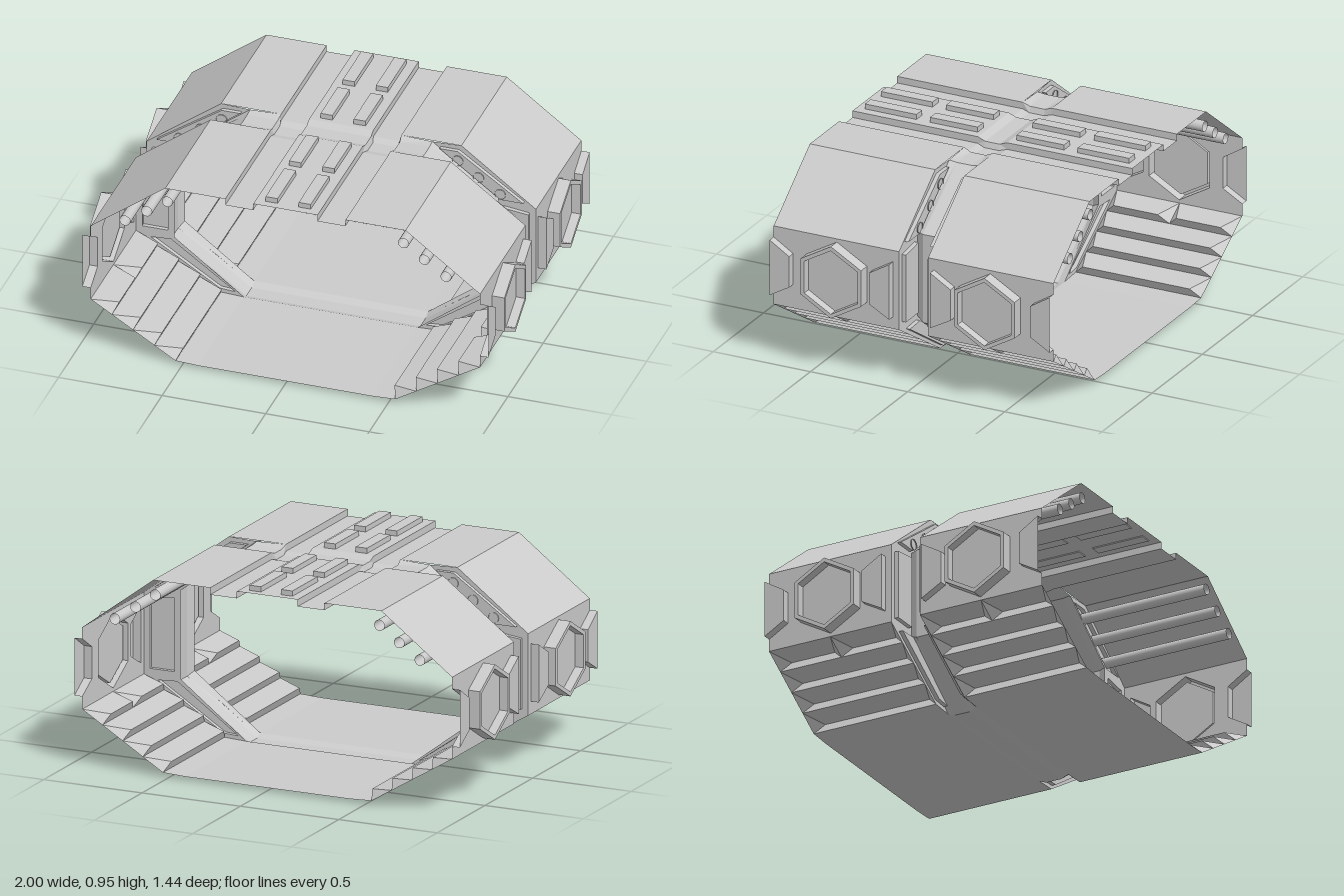
import * as THREE from 'three';

const mat = new THREE.MeshStandardMaterial({ color: 0xcccccc, side: THREE.DoubleSide, flatShading: true });
const smooth = new THREE.MeshStandardMaterial({ color: 0xcccccc, side: THREE.DoubleSide });
const END = 0.72, IN = 0.075; // z range of one bay

function add(group, name, geo, material = mat) {
  const m = new THREE.Mesh(geo, material);
  m.name = name;
  group.add(m);
  return m;
}

// Sheet through a list of cross-sections, each a list of [x, y, z]
function loft(sections, closed = false) {
  const pos = [];
  for (let i = 0; i < sections.length - 1; i++) {
    const a = sections[i], b = sections[i + 1], n = a.length;
    for (let j = 0; j < (closed ? n : n - 1); j++) {
      const k = (j + 1) % n;
      pos.push(...a[j], ...b[j], ...b[k], ...a[j], ...b[k], ...a[k]);
    }
  }
  const g = new THREE.BufferGeometry();
  g.setAttribute('position', new THREE.Float32BufferAttribute(pos, 3));
  g.computeVertexNormals();
  return g;
}

const atZ = (pts, z) => pts.map(([x, y]) => [x, y, z]);
const atX = (pts, x) => pts.map(([z, y]) => [x, y, z]);

function flat(pts, holes = []) {
  const v = (p) => p.map(([x, y]) => new THREE.Vector2(x, y));
  const s = new THREE.Shape(v(pts));
  holes.forEach((h) => s.holes.push(new THREE.Path(v(h))));
  return new THREE.ShapeGeometry(s);
}
// Same, but standing in the plane x = const, with points given as [z, y]
const flatX = (pts, x, holes) => flat(pts, holes).rotateY(-Math.PI / 2).translate(x, 0, 0);

function hexagon(r) {
  const pts = [];
  for (let i = 0; i < 6; i++) {
    const a = Math.PI / 2 + (i * Math.PI) / 3;
    pts.push([0.395 + r * Math.cos(a), 0.465 + r * Math.sin(a)]);
  }
  return pts;
}

// Side wall with a raised hexagon frame and two half-hexagon alcoves
function sideWall(q) {
  const big = hexagon(0.179), small = hexagon(0.158);
  const inner = [[0.105, 0.33], [0.21, 0.388], [0.21, 0.542], [0.105, 0.605]];
  const outer = [[END, 0.605], [0.62, 0.542], [0.62, 0.388], [END, 0.33]];
  const wall = [[IN, 0.27], [END, 0.27], outer[3], outer[2], outer[1], outer[0], [END, 0.66], [IN, 0.66]];
  add(q, 'sideWall', flatX(wall, 0.94, [big, inner]));
  add(q, 'hexagonFrame', loft([atX(big, 0.94), atX(big, 1), atX(small, 1), atX(small, 0.957)], true));
  add(q, 'hexagonPlate', flatX(small, 0.957));
  add(q, 'innerAlcoveSides', loft([atX(inner, 0.94), atX(inner, 0.98)], true));
  add(q, 'innerAlcoveBack', flatX(inner, 0.98));
  add(q, 'endAlcoveSides', loft([atX(outer, 0.94), atX(outer, 0.98)]));
  add(q, 'endAlcoveBack', flatX(outer, 0.98));
}

// Grooved lower slope: each groove has an overhang, a rising face and slanted ends
function lowerSlope(q) {
  const dx = 0.1025, dy = 0.0625;
  for (let i = 0; i < 4; i++) {
    const top = [0.94 - i * dx, 0.27 - i * dy];
    const tip = [top[0] - dx, top[1] - dy];
    const deep = [top[0] - 0.122, top[1] - 0.02];
    const spans = i === 0 ? [[IN, 0.3975], [0.3975, END]] : [[IN, END]];
    for (const [a, b] of spans) {
      const c = a + 0.045, d = b - 0.05;
      add(q, 'slopeGroove', loft([
        [[...top, a], [...top, a], [...tip, a]],
        [[...top, a], [...deep, c], [...tip, a]],
        [[...top, b], [...deep, d], [...tip, b]],
        [[...top, b], [...top, b], [...tip, b]],
      ]));
    }
  }
}

// End panel between the outer shell and the middle rib, with three recesses
function endPanel(q) {
  const outline = [[0.42, 0.015], [0.53, 0.02], [0.94, 0.27], [0.94, 0.66], [0.58, 0.93],
    [0.44, 0.925], [0.755, 0.69], [0.755, 0.27]];
  const recesses = [
    [[0.785, 0.3], [0.91, 0.3], [0.91, 0.635], [0.785, 0.65]],
    [[0.48, 0.907], [0.57, 0.907], [0.885, 0.69], [0.775, 0.69]],
    [[0.46, 0.035], [0.535, 0.04], [0.87, 0.25], [0.77, 0.255]],
  ];
  add(q, 'endPanel', flat(outline, recesses).translate(0, 0, IN));
  for (const r of recesses) {
    add(q, 'panelRecessSides', loft([atZ(r, IN), atZ(r, 0.055)], true));
    add(q, 'panelRecessBack', flat(r).translate(0, 0, 0.055));
  }
}

// One quarter of the corridor (x > 0, z > 0)
function quarter() {
  const q = new THREE.Group();
  q.name = 'corridorQuarter';

  const roof = [[0, 0.93], [0.155, 0.93], [0.155, 0.897], [0.29, 0.897], [0.29, 0.93], [0.58, 0.93], [0.94, 0.66]];
  add(q, 'roof', loft([atZ(roof, IN), atZ(roof, END)]));
  const floor = [[0, 0.015], [0.42, 0.015], [0.53, 0.02]];
  add(q, 'floor', loft([atZ(floor, IN), atZ(floor, END)]));
  sideWall(q);
  lowerSlope(q);
  endPanel(q);

  // Middle rib, with a collar joining it to the bay
  const rib = [[0, 0.915], [0.155, 0.915], [0.165, 0.887], [0.285, 0.887], [0.295, 0.915],
    [0.44, 0.92], [0.775, 0.69], [0.775, 0.25], [0.42, 0], [0, 0]];
  const collar = [[0, 0.93], [0.155, 0.93], [0.155, 0.897], [0.29, 0.897], [0.29, 0.93],
    [0.44, 0.925], [0.755, 0.69], [0.755, 0.27], [0.42, 0.015], [0, 0.015]];
  add(q, 'middleRib', loft([atZ(rib, 0), atZ(rib, 0.038)]));
  add(q, 'ribCollar', loft([atZ(rib, 0.038), atZ(collar, IN)]));

  // Raised roof pads
  for (const [a, b] of [[0.1, 0.345], [0.415, 0.68]]) {
    add(q, 'roofPad', new THREE.BoxGeometry(0.058, 0.03, b - a)).position.set(0.08, 0.94, (a + b) / 2);
  }

  // Open pipes under the upper slope
  for (const [x, y] of [[0.57, 0.86], [0.67, 0.79], [0.775, 0.72]]) {
    const pipe = new THREE.CylinderGeometry(0.026, 0.026, END - 0.05, 16, 1, true).rotateX(Math.PI / 2);
    add(q, 'pipe', pipe, smooth).position.set(x, y, (END + 0.05) / 2);
  }
  return q;
}

export function createModel() {
  const model = new THREE.Group();
  model.name = 'corridorSection';
  const base = quarter();
  for (const sx of [1, -1]) {
    for (const sz of [1, -1]) {
      const q = base.clone();
      q.scale.set(sx, 1, sz);
      model.add(q);
    }
  }
  return model;
}
